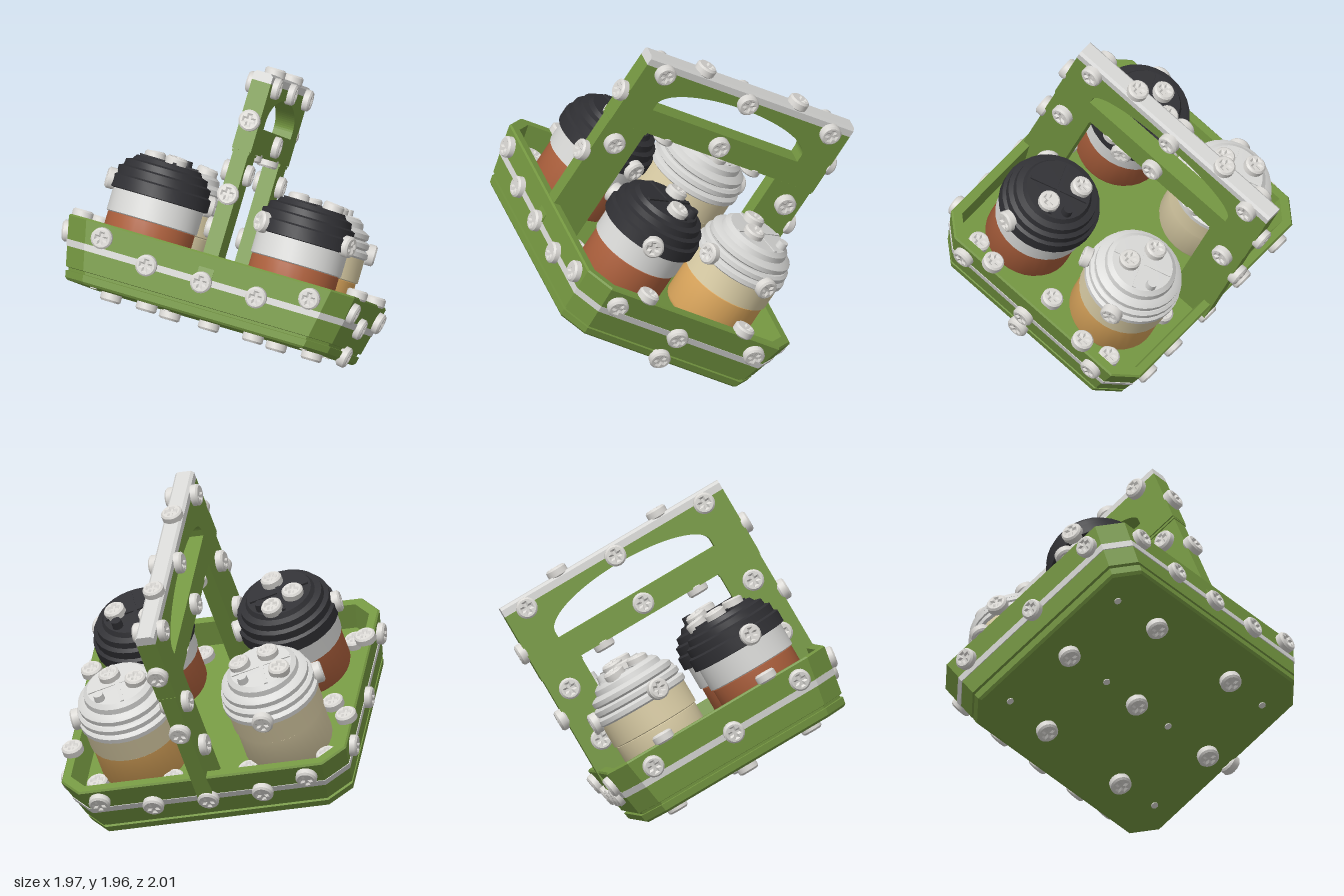
import * as THREE from 'three';
import { mergeGeometries, toCreasedNormals } from 'three/addons/utils/BufferGeometryUtils.js';

const paint = (name, color) => {
  const m = new THREE.MeshStandardMaterial({ color });
  m.name = name;
  return m;
};

const green = paint('green', 0x739540);
const white = paint('white', 0xd6d6d4);
const metal = paint('screw metal', 0xd9d7d3);
const black = paint('black', 0x303034);
const terracotta = paint('terracotta', 0xab5f3c);
const cream = paint('cream', 0xd8cba4);
const tan = paint('tan', 0xdba65c);

const FLOOR = 0.21;

function add(parent, name, geo, mat, x = 0, y = 0, z = 0) {
  const m = new THREE.Mesh(geo, mat);
  m.name = name;
  m.position.set(x, y, z);
  parent.add(m);
  return m;
}

// Chamfered rectangle of the flared tray at height y, counter-clockwise from above
function trayRing(y, inset = 0) {
  const hx = 0.762 + 0.205 * y - inset, hz = 0.64 + 0.17 * y - inset;
  const k = 0.12 - inset * 0.4;
  return [[hx, hz - k], [hx, -hz + k], [hx - k, -hz], [-hx + k, -hz],
    [-hx, -hz + k], [-hx, hz - k], [-hx + k, hz], [hx - k, hz]].map(([x, z]) => [x, y, z]);
}

// Flat-faced skin over a list of rings, optionally closed at both ends
function loft(rings, closed) {
  const pos = [];
  const tri = (a, b, c) => pos.push(...a, ...b, ...c);
  for (let r = 0; r < rings.length - 1; r++) {
    const a = rings[r], b = rings[r + 1], n = a.length;
    for (let i = 0; i < n; i++) {
      const j = (i + 1) % n;
      tri(a[i], a[j], b[j]);
      tri(a[i], b[j], b[i]);
    }
  }
  if (closed) {
    const f = rings[0], l = rings[rings.length - 1];
    for (let i = 1; i < f.length - 1; i++) {
      tri(f[0], f[i + 1], f[i]);
      tri(l[0], l[i], l[i + 1]);
    }
  }
  const g = new THREE.BufferGeometry();
  g.setAttribute('position', new THREE.Float32BufferAttribute(pos, 3));
  g.computeVertexNormals();
  return g;
}

// Round screw head with a shallow cross-shaped recess, standing on y = 0
function screwGeometry() {
  const s = new THREE.Shape().absarc(0, 0, 0.06, 0, Math.PI * 2);
  const a = 0.028, w = 0.006;
  const cross = [[a, w], [w, w], [w, a], [-w, a], [-w, w], [-a, w],
    [-a, -w], [-w, -w], [-w, -a], [w, -a], [w, -w], [a, -w]];
  s.holes.push(new THREE.Path(cross.map(([x, y]) => new THREE.Vector2(x, y))));
  const head = new THREE.ExtrudeGeometry(s, {
    depth: 0.036, bevelThickness: 0.01, bevelSize: 0.01, bevelOffset: -0.01, bevelSegments: 1, curveSegments: 10,
  });
  head.clearGroups();
  const floor = new THREE.CircleGeometry(0.045, 16).toNonIndexed().translate(0, 0, 0.036);
  return toCreasedNormals(mergeGeometries([head, floor]), 0.6).rotateX(-Math.PI / 2);
}

const lathe = (pts) => toCreasedNormals(
  new THREE.LatheGeometry(pts.map(([r, y]) => new THREE.Vector2(r, y)), 32), 0.5);

export function createModel() {
  const root = new THREE.Group();
  root.name = 'jarCaddy';
  const body = new THREE.Group();
  body.name = 'tiltedCaddy';
  body.position.set(-0.006, 0.434, 0.302);
  body.rotation.set(-0.546, 0.349, 0);
  root.add(body);

  const screwGeo = screwGeometry();
  const up = new THREE.Vector3(0, 1, 0);
  const screw = (parent, p, d) => {
    const m = add(parent, 'screw', screwGeo, metal, ...p);
    m.quaternion.setFromUnitVectors(up, new THREE.Vector3(...d).normalize());
  };

  // Tray with groove, thick rim, raised floor and painted stripe
  add(body, 'tray', loft([
    trayRing(0, 0.012), trayRing(0.012), trayRing(0.05), trayRing(0.053, 0.015), trayRing(0.068, 0.015),
    trayRing(0.07), trayRing(0.345), trayRing(0.355, 0.01), trayRing(0.355, 0.055),
    trayRing(FLOOR, 0.055),
  ], true), green);
  add(body, 'trayStripe', loft([trayRing(0.18, 0.002), trayRing(0.18, -0.004),
    trayRing(0.217, -0.004), trayRing(0.217, 0.002)], false), white);

  // Screws on the tray walls, rim, base and floor
  for (const s of [1, -1]) {
    for (const [x, y] of [[-0.6, 0.275], [-0.32, 0.2], [0, 0.195], [0.32, 0.2], [0.61, 0.275]])
      screw(body, [x, y, s * (0.635 + 0.17 * y)], [0, -0.17, s]);
    for (const [z, y] of [[-0.46, 0.265], [0.02, 0.2], [0.48, 0.265]])
      screw(body, [s * (0.757 + 0.205 * y), y, z], [s, -0.2, 0]);
    for (const x of [0.325, -0.295]) screw(body, [x, 0, s * 0.43], [0, -1, 0]);
    screw(body, [s * 0.585 + 0.015, 0, 0], [0, -1, 0]);
    screw(body, [s * 0.63, FLOOR, -0.03], [0, 1, 0]);
    for (const t of [1, -1]) {
      screw(body, [s * 0.67, FLOOR, t * 0.48], [0, 1, 0]);
      screw(body, [s * 0.22, FLOOR, t * 0.52], [0, 1, 0]);
      screw(body, [s * 0.8, 0.352, t * 0.33], [0, 1, 0]);
      add(body, 'basePin', new THREE.CylinderGeometry(0.02, 0.02, 0.012, 10), metal, s * 0.61, 0, t * 0.42);
    }
    add(body, 'basePin', new THREE.CylinderGeometry(0.02, 0.02, 0.012, 10), metal, s * 0.26 + 0.01, 0, 0);
  }
  screw(body, [0, 0, 0], [0, -1, 0]);
  screw(body, [0.762, 0.03, 0.02], [1, -0.2, 0]);

  // Handle plate with arched grip opening
  const handle = new THREE.Group();
  handle.name = 'handle';
  handle.position.set(0.008, 0, -0.008);
  body.add(handle);
  const plate = new THREE.Shape();
  plate.moveTo(-0.7, 0.955).lineTo(0.7, 0.955).lineTo(0.7, 1.35).lineTo(-0.7, 1.35).closePath();
  const grip = new THREE.Path();
  grip.moveTo(-0.5, 1.1).lineTo(-0.5, 1.14);
  grip.absellipse(0, 1.14, 0.5, 0.15, Math.PI, 0, true);
  grip.lineTo(0.5, 1.1).closePath();
  plate.holes.push(grip);
  add(handle, 'handlePlate', new THREE.ExtrudeGeometry(plate, { depth: 0.11, bevelEnabled: false, curveSegments: 20 })
    .translate(0, 0, -0.055).rotateY(-Math.PI / 2), green);

  // White cap with softened top edges
  const cap = new THREE.Shape();
  cap.moveTo(-0.055, 1.35).lineTo(0.055, 1.35).lineTo(0.055, 1.39).lineTo(0.04, 1.405)
    .lineTo(-0.04, 1.405).lineTo(-0.055, 1.39).closePath();
  add(handle, 'handleCap', new THREE.ExtrudeGeometry(cap, { depth: 1.4, bevelEnabled: false })
    .translate(0, 0, -0.7), white);

  // Posts and handle screws
  for (const s of [1, -1]) {
    add(handle, 'handlePost', new THREE.BoxGeometry(0.088, 0.75, 0.25), green, 0, 0.585, s * 0.57);
    add(handle, 'handleCollar', new THREE.BoxGeometry(0.1, 0.015, 0.258), green, 0, 0.945, s * 0.57);
    for (const z of [-0.57, 0, 0.57]) screw(handle, [s * 0.05, 1.335, z], [s, 0, 0]);
    screw(handle, [s * 0.05, 1.03, 0], [s, 0, 0]);
    for (const z of [-0.59, 0.59]) screw(handle, [s * 0.04, 0.83, z], [s, 0, 0]);
    screw(handle, [-0.04, 0.5, s * 0.58], [-1, 0, 0]);
    screw(handle, [0, 1.125, s * 0.695], [0, 0, s]);
    screw(handle, [0, 0.7, s * 0.69], [0, 0, s]);
    screw(handle, [0, 1.4, s * 0.32], [0, 1, 0]);
    screw(handle, [0, 0.96, s * 0.3], [0, -1, 0]);
  }

  // Four jars: base, band and stepped or ringed lid
  const baseGeo = lathe([[0, FLOOR], [0.24, FLOOR], [0.25, FLOOR + 0.02], [0.25, 0.43], [0.24, 0.44]]);
  const bandGeo = lathe([[0.24, 0.43], [0.26, 0.438], [0.26, 0.575], [0.24, 0.575]]);
  const steppedLid = lathe([[0.25, 0.565], [0.283, 0.57], [0.283, 0.64], [0.265, 0.65], [0.265, 0.695],
    [0.24, 0.705], [0.235, 0.74], [0.2, 0.75], [0.185, 0.775], [0, 0.78]]);
  const rings = [[0.24, 0.56]];
  for (const [r, y] of [[0.275, 0.592], [0.266, 0.645], [0.248, 0.695]])
    rings.push([r - 0.018, y - 0.025], [r, y - 0.013], [r, y + 0.013], [r - 0.018, y + 0.025]);
  rings.push([0.205, 0.73], [0.2, 0.76], [0.175, 0.78], [0, 0.785]);
  const ringedLid = lathe(rings);

  // Each jar: name, x, z, base, band, lid, lid shape, lid screw spots, side screw angles
  const jars = [
    ['frontLeftJar', 0.42, 0.31, terracotta, white, black, steppedLid,
      [[-0.1, -0.08], [0.11, -0.01]], [0.35, 2.44]],
    ['frontRightJar', -0.42, 0.31, terracotta, white, black, steppedLid,
      [[0.01, -0.14], [-0.09, -0.03], [0.05, 0.09]], [2.9, -0.3]],
    ['backLeftJar', 0.42, -0.31, tan, cream, white, ringedLid,
      [[-0.11, 0], [0.05, 0.06]], [1.2, -0.2]],
    ['backRightJar', -0.42, -0.31, cream, cream, white, ringedLid,
      [[-0.12, -0.06], [0.12, 0.02], [-0.03, 0.09]], [2.8, -1.6]],
  ];
  for (const [name, x, z, baseMat, bandMat, lidMat, lidGeo, tops, sides] of jars) {
    const jar = new THREE.Group();
    jar.name = name;
    jar.position.set(x, 0, z);
    body.add(jar);
    add(jar, 'jarBase', baseGeo, baseMat);
    add(jar, 'jarBand', bandGeo, bandMat);
    add(jar, 'jarLid', lidGeo, lidMat);
    for (const r of [0, Math.PI / 2])
      add(jar, 'lidRib', new THREE.BoxGeometry(0.34, 0.02, 0.02), lidMat, 0, 0.777, 0).rotation.y = r + 0.35;
    add(jar, 'lidKnob', new THREE.CylinderGeometry(0.028, 0.032, 0.06, 12), lidMat, 0.08, 0.79, -0.12);
    for (const [sx, sz] of tops) screw(jar, [sx, 0.775, sz], [sx, 1, sz]);
    for (const a of sides) {
      const c = Math.cos(a), s = Math.sin(a);
      screw(jar, [c * 0.265, 0.61, s * 0.265], [c, 0, s]);
    }
  }
  return root;
}
